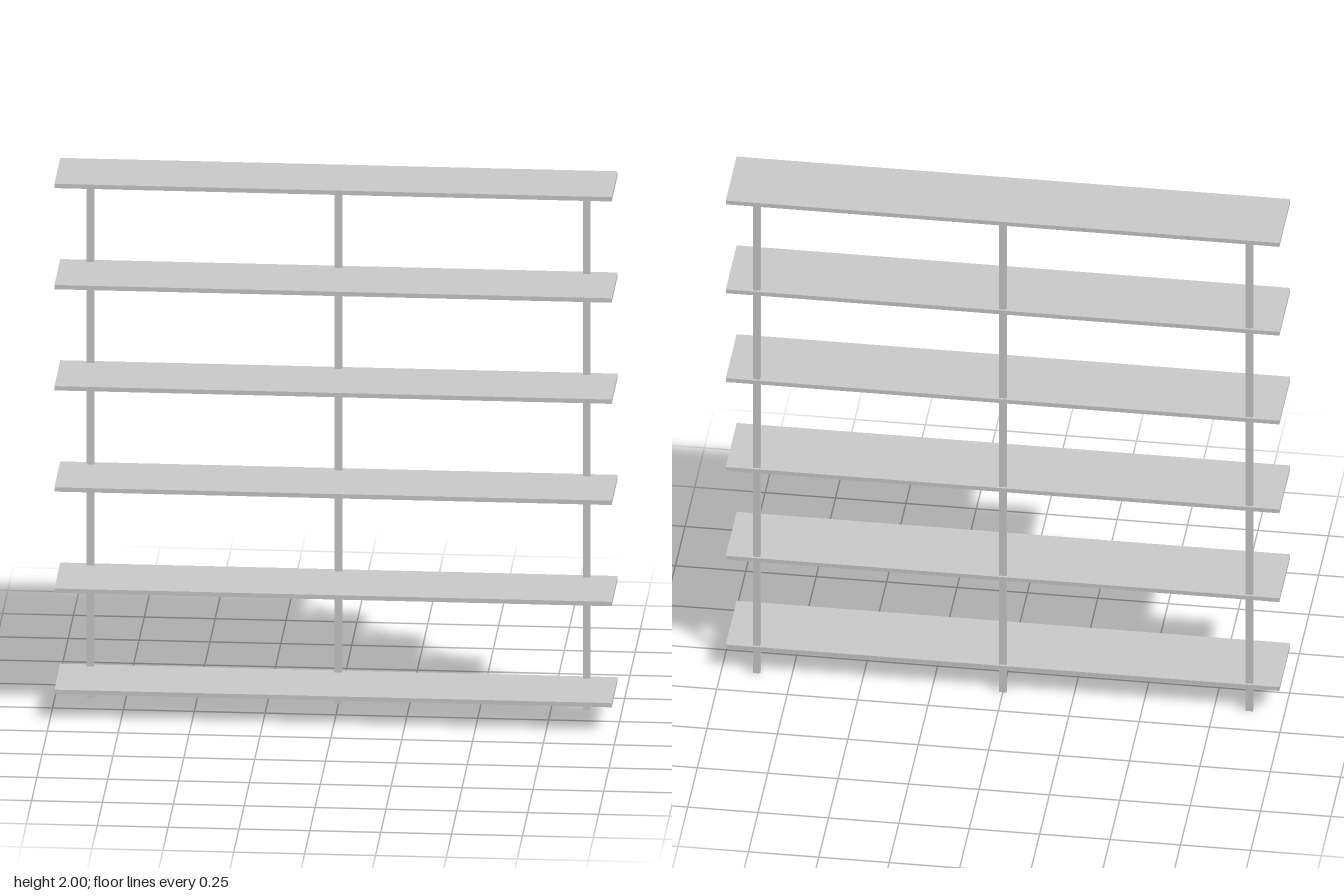
import * as THREE from 'three';

const material = new THREE.MeshStandardMaterial({ color: 0xcccccc });

// Box given by its limits on each axis
function slab(name, [x0, x1], [y0, y1], [z0, z1]) {
  const mesh = new THREE.Mesh(new THREE.BoxGeometry(x1 - x0, y1 - y0, z1 - z0), material);
  mesh.position.set((x0 + x1) / 2, (y0 + y1) / 2, (z0 + z1) / 2);
  mesh.name = name;
  return mesh;
}

const SHELVES = 6, PITCH = 0.3766, THICK = 0.016;
const POST_X = [-0.875, 0, 0.875];
const POST_HALF = 0.013, POST_BACK = -0.132, POST_FRONT = -0.116;

// L-shaped bracket: arm under the shelf, tab against the post, two screws
function createBracket(x, y) {
  const bracket = new THREE.Group();
  bracket.name = 'bracket';
  const width = [x - 0.0125, x + 0.0125];
  bracket.add(
    slab('bracketArm', width, [y - 0.005, y], [POST_FRONT, 0.122]),
    slab('bracketTab', width, [y - 0.048, y], [POST_FRONT, POST_FRONT + 0.004])
  );
  for (const drop of [0.013, 0.036]) {
    const screw = new THREE.Mesh(new THREE.CylinderGeometry(0.0025, 0.0025, 0.001, 10), material);
    screw.rotation.x = Math.PI / 2;
    screw.position.set(x, y - drop, POST_FRONT + 0.0045);
    screw.name = 'screw';
    bracket.add(screw);
  }
  return bracket;
}

export function createModel() {
  const model = new THREE.Group();
  model.name = 'shelvingUnit';

  // Uprights end beneath the top board
  for (const x of POST_X) {
    model.add(slab('post', [x - POST_HALF, x + POST_HALF], [0, 2 - THICK], [POST_BACK, POST_FRONT]));
  }

  // Boards, each carried by one bracket per post
  for (let i = 0; i < SHELVES; i++) {
    const top = 2 - i * PITCH;
    model.add(slab('shelf', [-0.983, 0.983], [top - THICK, top], [-0.14, 0.14]));
    for (const x of POST_X) model.add(createBracket(x, top - THICK));
  }
  return model;
}
